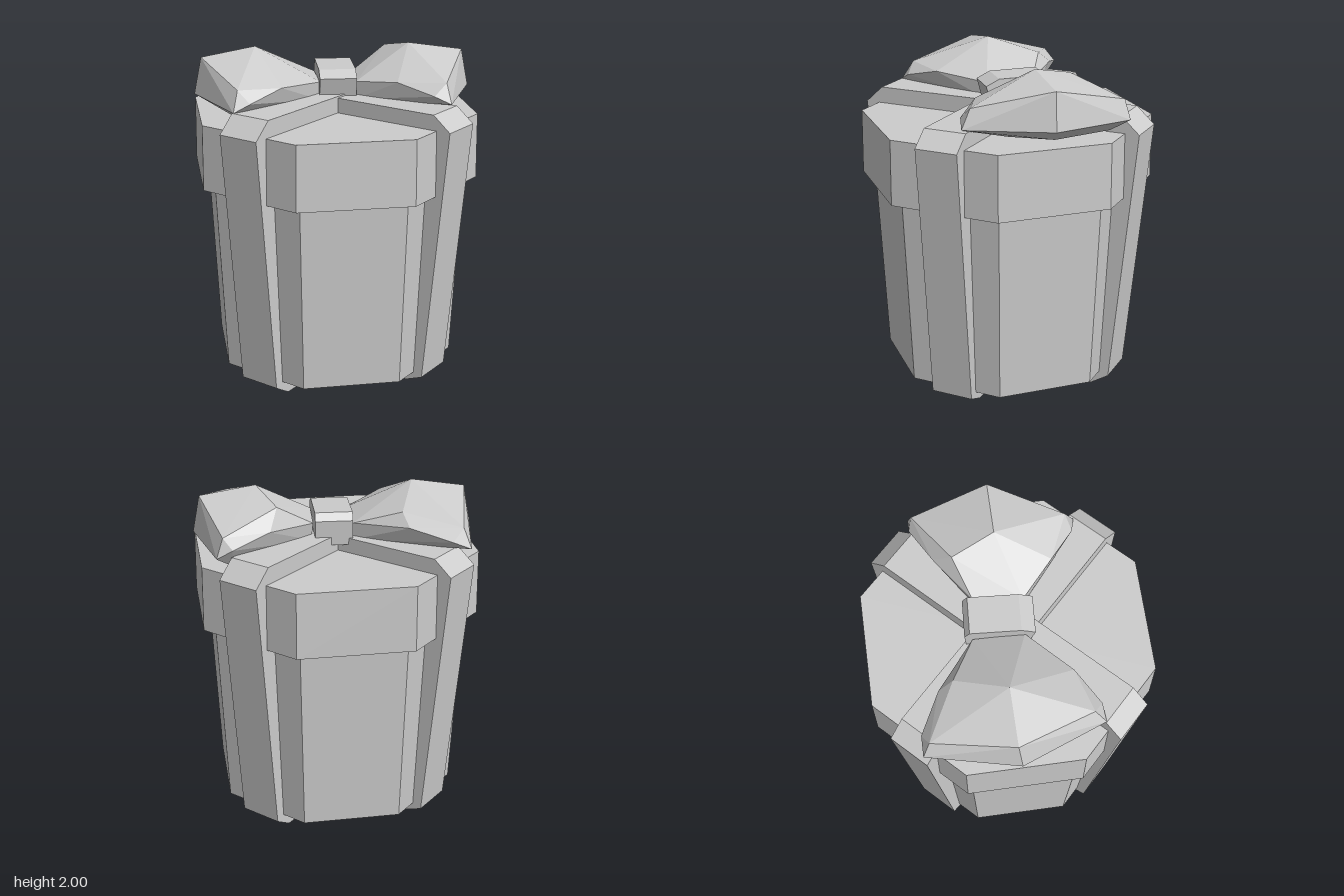
import * as THREE from 'three';
import { ConvexGeometry } from 'three/addons/geometries/ConvexGeometry.js';

const material = new THREE.MeshStandardMaterial({ color: 0xcccccc, flatShading: true });

function part(name, geometry) {
  const mesh = new THREE.Mesh(geometry, material);
  mesh.name = name;
  return mesh;
}

// Eight-sided drum between two heights
function drum(name, rTop, rBottom, y0, y1) {
  const g = new THREE.CylinderGeometry(rTop, rBottom, y1 - y0, 8);
  g.translate(0, (y0 + y1) / 2, 0);
  return part(name, g);
}

// Side profile extruded to a band of the given width, turned about y
function band(name, profile, width, angle) {
  const shape = new THREE.Shape(profile.map(([x, y]) => new THREE.Vector2(x, y)));
  const g = new THREE.ExtrudeGeometry(shape, { depth: width, bevelEnabled: false });
  g.translate(0, 0, -width / 2);
  g.rotateY(THREE.MathUtils.degToRad(angle));
  return part(name, g);
}

// Ribbon wrapped right round the box, with chamfered corners
function ribbon(name, bottom, top, angle) {
  const half = [[0.645, bottom], [0.755, 0.07], [0.9, 1.63], [0.79, top]];
  const mirrored = half.map(([x, y]) => [-x, y]).reverse();
  return band(name, [...half, ...mirrored], 0.26, angle);
}

// Faceted bow loop
function bowLoop(name, points) {
  return part(name, new ConvexGeometry(points.map((p) => new THREE.Vector3(...p))));
}

export function createModel() {
  const model = new THREE.Group();
  model.name = 'giftBox';

  // Box and lid
  model.add(drum('boxBody', 0.81, 0.755, 0.09, 1.25));
  model.add(drum('lid', 0.88, 0.885, 1.24, 1.63));

  // Crossing ribbons
  model.add(ribbon('frontRibbon', 0.025, 1.72, -67.5));
  model.add(ribbon('sideRibbon', 0, 1.73, 22.5));

  // Bow loops: rim, shoulders, crown and underside
  model.add(bowLoop('leftBowLoop', [
    [0.385, 1.73, 0.68], [0.39, 1.845, 0.62], [0.305, 1.775, 0.62], [0.19, 1.83, 0.41],
    [0.07, 1.8, 0.15], [0.2, 1.8, -0.1], [0.53, 1.83, -0.18], [0.78, 1.775, -0.2],
    [0.865, 1.73, -0.165], [0.82, 1.845, -0.16],
    [0.43, 2, 0.17], [0.44, 1.94, -0.1], [0.735, 1.95, 0.3], [0.77, 1.73, 0.325],
    [0.07, 1.69, 0.14], [0.2, 1.69, -0.08], [0.46, 1.655, 0.4], [0.69, 1.66, 0.26], [0.75, 1.655, -0.12],
  ]));
  model.add(bowLoop('rightBowLoop', [
    [-0.44, 1.73, -0.785], [-0.42, 1.845, -0.73], [-0.34, 1.775, -0.74], [-0.18, 1.83, -0.54],
    [0, 1.8, -0.22], [-0.12, 1.8, 0.05], [-0.45, 1.83, 0.17], [-0.68, 1.775, 0.215],
    [-0.775, 1.73, 0.19], [-0.72, 1.845, 0.14],
    [-0.41, 2, -0.22], [-0.19, 1.9, -0.45], [-0.71, 1.945, -0.34], [-0.76, 1.73, -0.34],
    [0, 1.69, -0.2], [-0.12, 1.69, 0.04], [-0.44, 1.655, -0.5], [-0.66, 1.66, -0.28], [-0.68, 1.655, 0.12],
  ]));

  // Knot over the middle of the bow
  const knot = band('bowKnot', [
    [-0.19, 1.68], [0.16, 1.68], [0.2, 1.83], [0.12, 1.87], [-0.17, 1.875], [-0.2, 1.83],
  ], 0.22, -116);
  knot.position.set(0.035, 0, -0.03);
  model.add(knot);

  return model;
}
